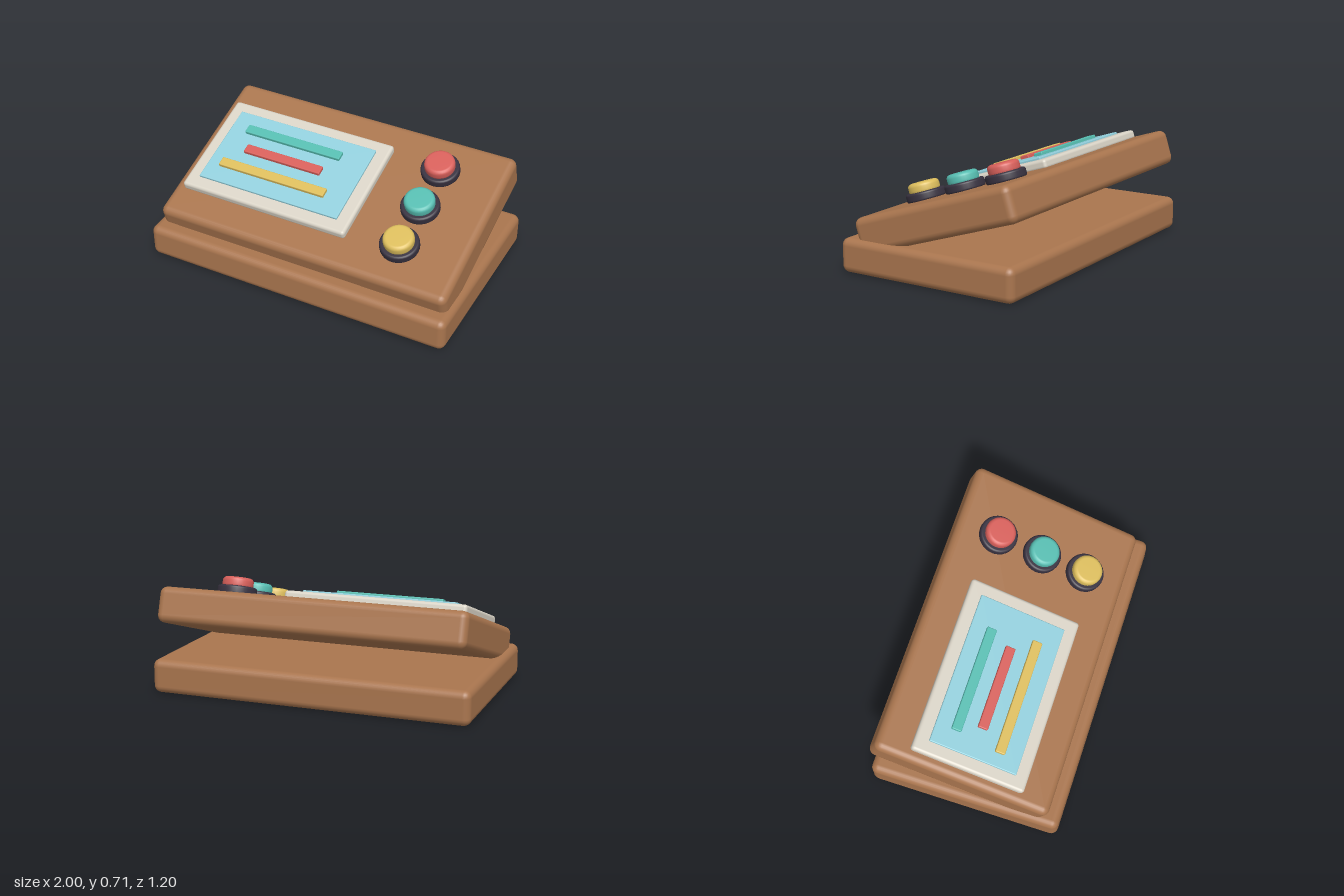
import * as THREE from 'three';
import { RoundedBoxGeometry } from 'three/addons/geometries/RoundedBoxGeometry.js';

function material(name, color) {
  const m = new THREE.MeshStandardMaterial({ color });
  m.name = name;
  return m;
}

export function createModel() {
  const wood = material('wood', 0xa9754e);
  const cream = material('cream', 0xd9d3c6);
  const blue = material('screenBlue', 0x92cfdc);
  const dark = material('darkCollar', 0x37313f);
  const teal = material('teal', 0x56bdb1);
  const red = material('red', 0xd75f5a);
  const yellow = material('yellow', 0xdcbd5c);

  const model = new THREE.Group();
  model.name = 'controlConsole';

  // Box with rounded edges, centred at x, z and resting on y
  function slab(parent, name, mat, [w, h, d], [x, y, z], radius) {
    const mesh = new THREE.Mesh(new RoundedBoxGeometry(w, h, d, 3, radius), mat);
    mesh.name = name;
    mesh.position.set(x, y + h / 2, z);
    parent.add(mesh);
  }

  // Solid round part with softened rims, resting on y
  function disc(parent, name, mat, radius, height, bevel, y) {
    const profile = [new THREE.Vector2(0, 0)];
    for (const [cy, start] of [[bevel, -Math.PI / 2], [height - bevel, 0]]) {
      for (let i = 0; i <= 4; i++) {
        const a = start + (i / 4) * Math.PI / 2;
        profile.push(new THREE.Vector2(radius - bevel + bevel * Math.cos(a), cy + bevel * Math.sin(a)));
      }
    }
    profile.push(new THREE.Vector2(0, height));
    const mesh = new THREE.Mesh(new THREE.LatheGeometry(profile, 32), mat);
    mesh.name = name;
    mesh.position.y = y;
    parent.add(mesh);
  }

  // Flat base
  slab(model, 'base', wood, [2, 0.21, 1.2], [0, 0, 0], 0.045);

  // Sloping panel; its group has y = 0 on the panel's upper face
  const panel = new THREE.Group();
  panel.name = 'slopingPanel';
  panel.position.set(0, 0.491, 0);
  panel.rotation.x = 0.31;
  model.add(panel);
  slab(panel, 'panelBody', wood, [1.93, 0.22, 1.13], [0, -0.22, 0], 0.045);

  // Screen with its frame and raised bars
  slab(panel, 'screenFrame', cream, [1.13, 0.06, 0.725], [-0.335, -0.01, 0], 0.02);
  slab(panel, 'screen', blue, [0.965, 0.03, 0.56], [-0.337, 0.034, 0], 0.006);
  const bars = [
    ['tealBar', teal, 0.67, -0.37, -0.152],
    ['redBar', red, 0.535, -0.368, -0.006],
    ['yellowBar', yellow, 0.735, -0.368, 0.14],
  ];
  for (const [name, mat, length, x, z] of bars) {
    slab(panel, name, mat, [length, 0.027, 0.062], [x, 0.058, z], 0.006);
  }

  // Column of buttons on dark collars
  const buttons = [['red', red, -0.302], ['teal', teal, -0.003], ['yellow', yellow, 0.294]];
  for (const [name, mat, z] of buttons) {
    const button = new THREE.Group();
    button.name = name + 'Button';
    button.position.set(0.565, 0, z);
    disc(button, 'collar', dark, 0.121, 0.055, 0.014, -0.004);
    disc(button, 'buttonCap', mat, 0.095, 0.07, 0.024, 0.036);
    panel.add(button);
  }

  return model;
}
